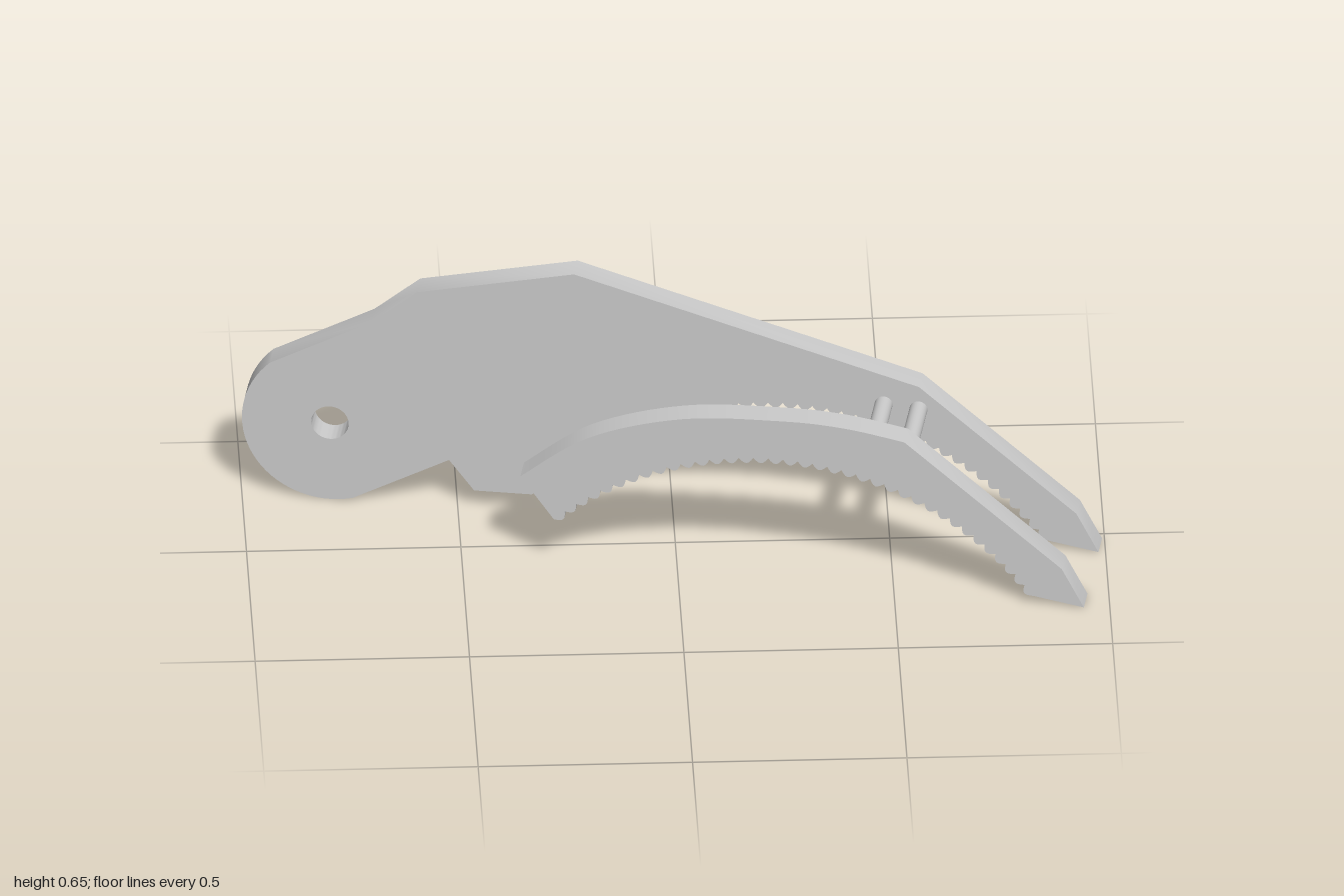
import * as THREE from 'three';
import { toCreasedNormals } from 'three/addons/utils/BufferGeometryUtils.js';

const TEETH = 37, THICK = 0.0635, BACK = -0.1525, FRONT = 0.1015;
const PINS = [[0.478, 0.361], [0.56, 0.354]], PIN_R = 0.021;
const HINGE = [-0.824, 0.207];
const material = new THREE.MeshStandardMaterial({ color: 0xcccccc });

// Scalloped teeth along the inner arc, from the left end to the tip
function toothedArc() {
  const cx = 0.25, cy = -0.4, r = 0.745, depth = 0.014, steps = 6;
  const a0 = Math.asin(-0.51 / 0.74), a1 = Math.asin(0.61 / 0.74);
  const pts = [];
  for (let i = 0; i <= TEETH * steps; i++) {
    const a = a0 + (a1 - a0) * i / (TEETH * steps);
    const rr = r - depth * Math.sin(Math.PI * (i % steps) / steps);
    pts.push([cx + rr * Math.sin(a), cy + rr * Math.cos(a)]);
  }
  return pts;
}

function plate(name, outline, holes, z) {
  const shape = new THREE.Shape(outline.map(([x, y]) => new THREE.Vector2(x, y)));
  for (const [x, y, r] of holes) {
    shape.holes.push(new THREE.Path().absarc(x, y, r, 0, Math.PI * 2, true));
  }
  const geo = new THREE.ExtrudeGeometry(shape, { depth: THICK, bevelEnabled: false, curveSegments: 24 });
  const mesh = new THREE.Mesh(toCreasedNormals(geo, 0.55), material);
  mesh.name = name;
  mesh.position.z = z;
  return mesh;
}

export function createModel() {
  const model = new THREE.Group();
  model.name = 'toothedArm';
  const arm = new THREE.Group();
  arm.name = 'arm';
  arm.rotation.y = -THREE.MathUtils.degToRad(10);
  model.add(arm);

  const tip = [[0.983, 0], [0.931, 0.1], [0.561, 0.414]];
  const teeth = toothedArc();

  // Round hinge boss
  const boss = [];
  for (let i = 0; i <= 32; i++) {
    const a = THREE.MathUtils.degToRad(133 + 152 * i / 32);
    boss.push([HINGE[0] + 0.207 * Math.cos(a), HINGE[1] + 0.207 * Math.sin(a)]);
  }

  // Long rear plate with hinge and pin holes
  arm.add(plate('rearPlate', [
    ...tip, [-0.25, 0.655], [-0.62, 0.577], [-0.728, 0.486],
    ...boss, [-0.544, 0.128], [-0.485, 0.05], [-0.349, 0.05], ...teeth,
  ], [[...HINGE, 0.044], ...PINS.map((p) => [...p, PIN_R])], BACK));

  // Short front plate with a curved back
  const crest = new THREE.SplineCurve([
    [0.561, 0.414], [0.42, 0.44], [0.27, 0.448], [0.037, 0.435], [-0.18, 0.368], [-0.342, 0.25],
  ].map(([x, y]) => new THREE.Vector2(x, y)));
  const top = crest.getPoints(40).slice(1).map((p) => [p.x, p.y]);
  arm.add(plate('frontPlate', [...tip, ...top, ...teeth], [], FRONT));

  // Pins joining the two plates
  const start = BACK + THICK - 0.01, end = FRONT + 0.01;
  for (const [x, y] of PINS) {
    const pin = new THREE.Mesh(new THREE.CylinderGeometry(PIN_R, PIN_R, end - start, 24), material);
    pin.name = 'pin';
    pin.rotation.x = Math.PI / 2;
    pin.position.set(x, y, (start + end) / 2);
    arm.add(pin);
  }
  return model;
}
